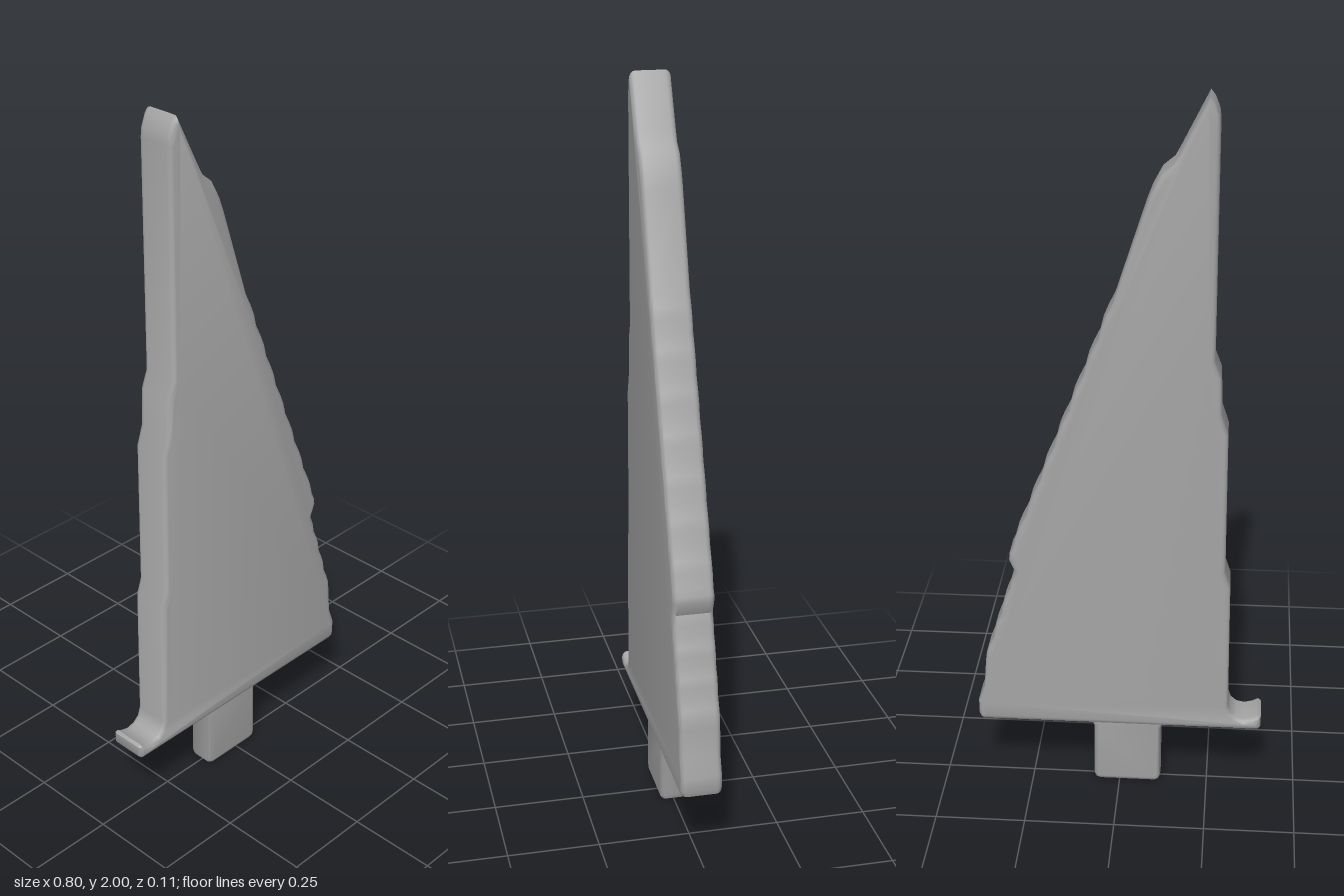
import * as THREE from 'three';
import { toCreasedNormals } from 'three/addons/utils/BufferGeometryUtils.js';

const steel = new THREE.MeshStandardMaterial({ color: 0xa4a4a4 });
steel.name = 'greySteel';

// Slab cut to an outline, with rounded rims and a total thickness
function slab(name, points, thickness, bevel) {
  const shape = new THREE.Shape(points.map(([x, y]) => new THREE.Vector2(x, y)));
  const geometry = new THREE.ExtrudeGeometry(shape, {
    depth: thickness - 2 * bevel,
    bevelEnabled: true,
    bevelThickness: bevel,
    bevelSize: bevel,
    bevelOffset: -bevel,
    bevelSegments: 4,
  });
  geometry.translate(0, 0, -(thickness / 2 - bevel));
  const mesh = new THREE.Mesh(toCreasedNormals(geometry, 0.7), steel);
  mesh.name = name;
  return mesh;
}

// Shallow scallops between two points of the cutting edge
function scallops([x0, y0], [x1, y1], count) {
  const points = [];
  for (let i = 0; i < count; i++) {
    for (const [f, bulge] of [[0, 0], [0.35, 0.005], [0.65, 0.004]]) {
      const t = (i + f) / count;
      points.push([x0 + (x1 - x0) * t + bulge, y0 + (y1 - y0) * t]);
    }
  }
  points.push([x1, y1]);
  return points;
}

export function createModel() {
  const group = new THREE.Group();
  group.name = 'brokenBlade';

  // Stepped spine, hooked heel and straight base
  const spine = [
    [-0.22, 2], [-0.232, 1.985], [-0.244, 1.955], [-0.247, 1.93], [-0.247, 1.315],
    [-0.264, 1.27], [-0.268, 1.165], [-0.286, 1.11], [-0.288, 0.7],
    [-0.303, 0.655], [-0.306, 0.275], [-0.314, 0.25], [-0.33, 0.236],
    [-0.352, 0.231], [-0.375, 0.237], [-0.392, 0.246], [-0.4, 0.24],
    [-0.4, 0.21], [-0.392, 0.2],
  ];
  // Chipped cutting edge, from the base up to the point
  const edge = [
    [0.385, 0.2], [0.395, 0.205], [0.4, 0.22], [0.4, 0.26], [0.382, 0.31],
    ...scallops([0.376, 0.39], [0.302, 0.625], 3),
    [0.298, 0.65], [0.287, 0.68], [0.302, 0.715], [0.3, 0.735],
    ...scallops([0.29, 0.755], [0.015, 1.47], 7),
    [-0.065, 1.72], [-0.08, 1.76], [-0.105, 1.807], [-0.135, 1.832], [-0.15, 1.86],
  ];
  group.add(slab('blade', [...spine, ...edge], 0.112, 0.016));

  // Tang, flaring slightly where it meets the blade
  group.add(slab('tang', [
    [-0.1, 0], [0.055, 0], [0.068, 0.005], [0.073, 0.018], [0.073, 0.18],
    [0.08, 0.195], [0.09, 0.23], [-0.135, 0.23], [-0.125, 0.195],
    [-0.117, 0.18], [-0.117, 0.018], [-0.112, 0.005],
  ], 0.076, 0.014));

  return group;
}
